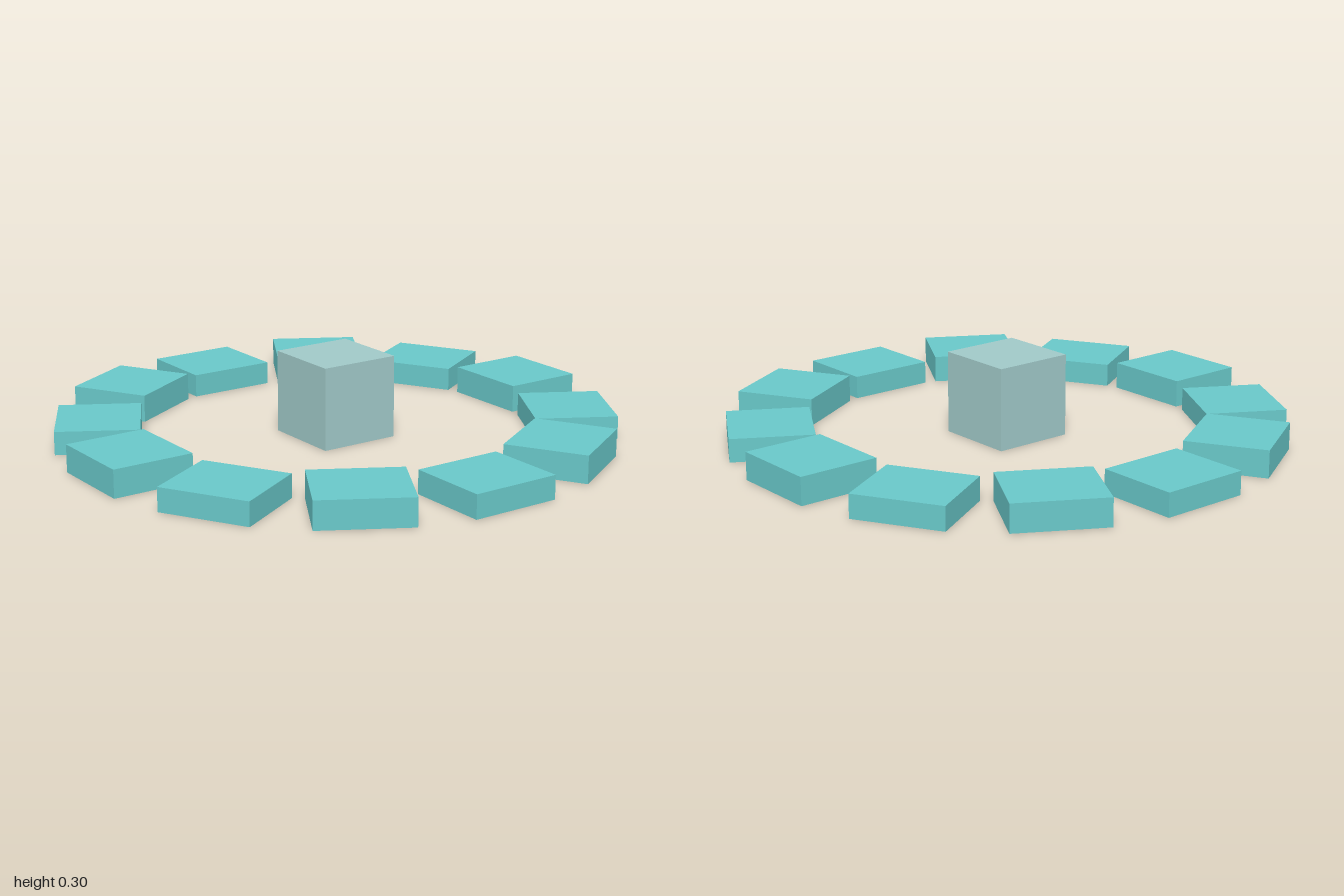
import * as THREE from 'three';

export function createModel() {
  const model = new THREE.Group();
  const teal = new THREE.MeshStandardMaterial({ name: 'teal', color: 0x69c8c9 });
  const paleTeal = new THREE.MeshStandardMaterial({ name: 'paleTeal', color: 0xa0c9c8 });

  // box standing on the ground
  function block(name, width, height, depth, material) {
    const geometry = new THREE.BoxGeometry(width, height, depth).translate(0, height / 2, 0);
    const mesh = new THREE.Mesh(geometry, material);
    mesh.name = name;
    return mesh;
  }

  // cube in the middle
  model.add(block('centreCube', 0.3, 0.3, 0.3, paleTeal));

  // ring of twelve slabs, alternately taller and lower
  const ring = new THREE.Group();
  ring.name = 'slabRing';
  const radius = 0.85;
  for (let i = 0; i < 12; i++) {
    const angle = (i * Math.PI) / 6;
    const height = i % 2 === 0 ? 0.1 : 0.085;
    const slab = block('slab' + (i + 1), 0.3, height, 0.33, teal);
    slab.position.set(Math.cos(angle) * radius, 0, Math.sin(angle) * radius);
    slab.rotation.y = -angle;
    ring.add(slab);
  }
  model.add(ring);
  return model;
}
